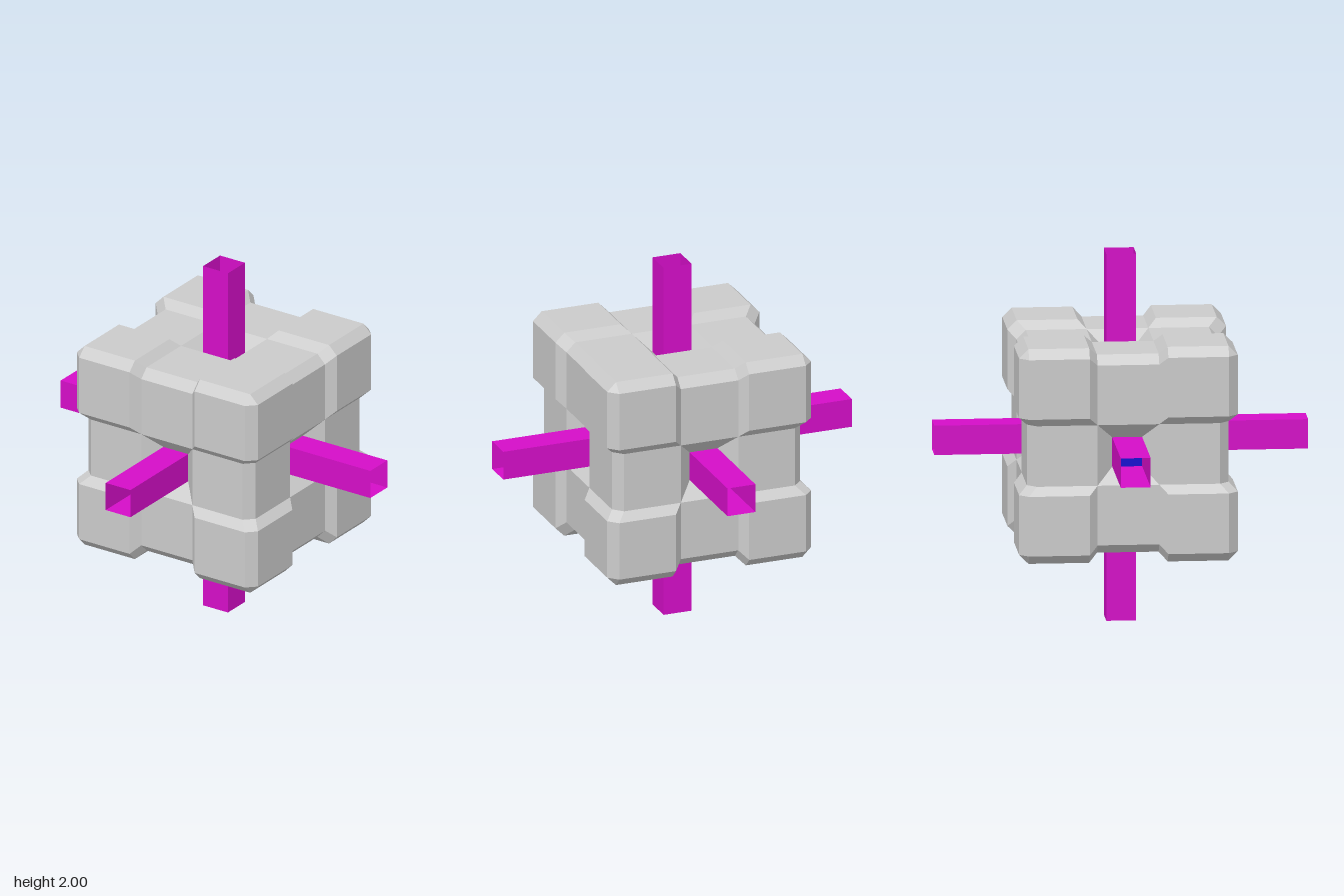
import * as THREE from 'three';

// Distances from the centre of the body
const TUBE = 0.08;   // half width of the tubes
const RIM = 0.165;   // half width of the pit in each side
const STEP = 0.21;   // start of the raised corner block
const BAR = 0.54;    // outer level of the bars
const BLOCK = 0.585; // outer level of the corner blocks
const BEVEL = 0.05;
const PIT = BAR - (RIM - TUBE); // level of the pit floor
const BAR_IN = BAR - BEVEL, BLOCK_IN = BLOCK - BEVEL;

// Polygons of one side (facing z) within the positive octant
function octantPolygons() {
  const swapXY = (poly) => poly.map(([x, y, z]) => [y, x, z]);
  const mirrored = [
    // slope from bar up to corner block
    [[RIM, RIM, BAR], [BAR_IN, RIM, BAR], [BLOCK_IN, STEP, BLOCK], [STEP, STEP, BLOCK]],
    // half of a bar front
    [[RIM, 0, BAR], [BAR_IN, 0, BAR], [BAR_IN, RIM, BAR], [RIM, RIM, BAR]],
    // half of a pit slope
    [[TUBE, 0, PIT], [RIM, 0, BAR], [RIM, RIM, BAR], [TUBE, TUBE, PIT]],
  ];
  const single = [
    // corner block front
    [[STEP, STEP, BLOCK], [BLOCK_IN, STEP, BLOCK], [BLOCK_IN, BLOCK_IN, BLOCK], [STEP, BLOCK_IN, BLOCK]],
  ];
  // bevel strip along the edge shared with the x side
  const strip = [[0, BAR], [RIM, BAR], [STEP, BLOCK], [BLOCK_IN, BLOCK]];
  for (let i = 0; i < 3; i++) {
    const [y0, h0] = strip[i], [y1, h1] = strip[i + 1];
    single.push([[h0 - BEVEL, y0, h0], [h0, y0, h0 - BEVEL], [h1, y1, h1 - BEVEL], [h1 - BEVEL, y1, h1]]);
  }
  return [...mirrored, ...mirrored.map(swapXY), ...single];
}

// Repeats the octant polygons over three axes and eight sign combinations
function bodyGeometry() {
  const positions = [];
  const addPolygon = (points) => {
    const v = points.map((p) => new THREE.Vector3(...p));
    const normal = v[1].clone().sub(v[0]).cross(v[2].clone().sub(v[0]));
    const centre = v.reduce((sum, p) => sum.add(p), new THREE.Vector3());
    if (normal.dot(centre) < 0) v.reverse(); // every face looks outward
    for (let i = 1; i < v.length - 1; i++) {
      for (const p of [v[0], v[i], v[i + 1]]) positions.push(p.x, p.y, p.z);
    }
  };
  const polygons = octantPolygons();
  const cornerTip = [[BLOCK, BLOCK_IN, BLOCK_IN], [BLOCK_IN, BLOCK, BLOCK_IN], [BLOCK_IN, BLOCK_IN, BLOCK]];
  for (const sx of [1, -1]) for (const sy of [1, -1]) for (const sz of [1, -1]) {
    const place = ([x, y, z]) => [x * sx, y * sy, z * sz];
    addPolygon(cornerTip.map(place));
    for (const poly of polygons) {
      addPolygon(poly.map(place));
      addPolygon(poly.map(([x, y, z]) => place([z, x, y])));
      addPolygon(poly.map(([x, y, z]) => place([y, z, x])));
    }
  }
  const geometry = new THREE.BufferGeometry();
  geometry.setAttribute('position', new THREE.Float32BufferAttribute(positions, 3));
  geometry.computeVertexNormals();
  return geometry;
}

export function createModel() {
  const model = new THREE.Group();
  model.name = 'blockWithTubes';

  const grey = new THREE.MeshStandardMaterial({ color: 0xcccccc, flatShading: true });
  const magenta = new THREE.MeshStandardMaterial({ color: 0xd50ec8, flatShading: true, side: THREE.DoubleSide });
  const blue = new THREE.MeshStandardMaterial({ color: 0x130ed0, side: THREE.DoubleSide });

  const body = new THREE.Mesh(bodyGeometry(), grey);
  body.name = 'body';
  body.position.y = 1;
  model.add(body);

  // Open square tube standing on the pit floor, pointing along y
  const length = 1 - PIT;
  const radius = TUBE * Math.SQRT2;
  const tubeGeometry = new THREE.CylinderGeometry(radius, radius, length, 4, 1, true)
    .rotateY(Math.PI / 4).translate(0, PIT + length / 2, 0);
  const floorGeometry = new THREE.PlaneGeometry(2 * TUBE, 2 * TUBE)
    .rotateX(-Math.PI / 2).translate(0, PIT, 0);

  const directions = {
    top: [0, 1, 0], bottom: [0, -1, 0], left: [1, 0, 0],
    right: [-1, 0, 0], front: [0, 0, 1], back: [0, 0, -1],
  };
  const up = new THREE.Vector3(0, 1, 0);
  for (const [side, direction] of Object.entries(directions)) {
    const arm = new THREE.Group();
    arm.name = side + 'Arm';
    const tube = new THREE.Mesh(tubeGeometry, magenta);
    tube.name = side + 'Tube';
    const floor = new THREE.Mesh(floorGeometry, blue);
    floor.name = side + 'TubeFloor';
    arm.add(tube, floor);
    arm.quaternion.setFromUnitVectors(up, new THREE.Vector3(...direction));
    arm.position.y = 1;
    model.add(arm);
  }
  return model;
}
